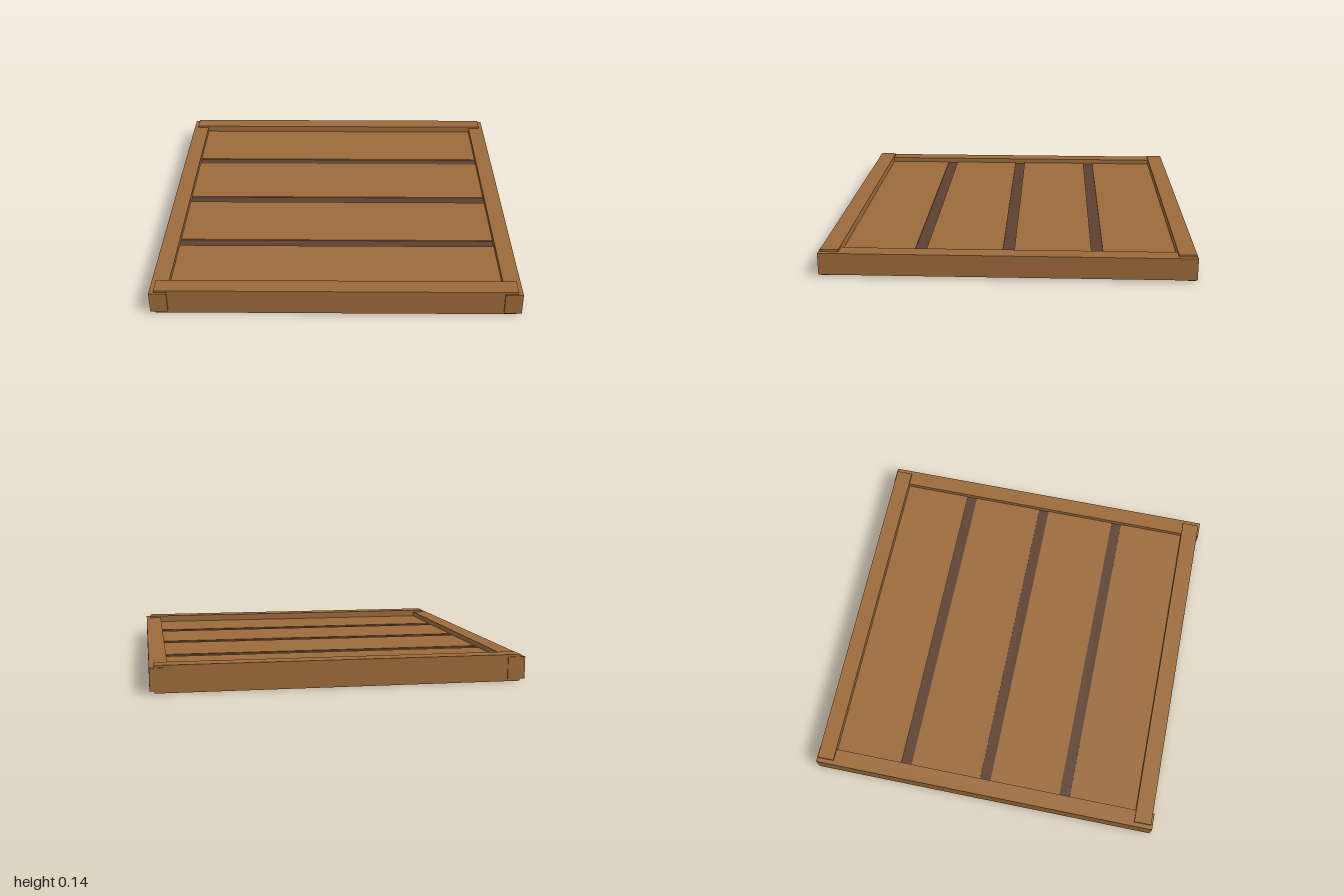
import * as THREE from 'three';

export function createModel() {
  const group = new THREE.Group();
  group.name = 'woodenPanel';

  const wood = new THREE.MeshStandardMaterial({ color: 0x9b6a3a });
  wood.name = 'warm wood';
  const darkWood = new THREE.MeshStandardMaterial({ color: 0x5c4132 });
  darkWood.name = 'dark wood';

  // Box given by its limits on each axis
  function addBox(name, material, [x0, x1], [y0, y1], [z0, z1]) {
    const mesh = new THREE.Mesh(new THREE.BoxGeometry(x1 - x0, y1 - y0, z1 - z0), material);
    mesh.position.set((x0 + x1) / 2, (y0 + y1) / 2, (z0 + z1) / 2);
    mesh.name = name;
    group.add(mesh);
  }

  // Side rails
  addBox('leftRail', wood, [0.905, 1], [0.012, 0.133], [-1, 1]);
  addBox('rightRail', wood, [-1, -0.905], [0.012, 0.133], [-1, 1]);

  // End rails, taller than the side rails and lapping over them
  addBox('frontRail', wood, [-0.975, 0.975], [0, 0.145], [0.892, 0.99]);
  addBox('backRail', wood, [-0.975, 0.975], [0, 0.145], [-0.995, -0.9]);

  // Four planks, set a little below the frame
  const seams = [-0.48, -0.003, 0.472];
  const halfSeam = 0.031;
  const starts = [-0.91, ...seams.map((z) => z + halfSeam)];
  const ends = [...seams.map((z) => z - halfSeam), 0.9];
  starts.forEach((z, i) => {
    addBox(`plank${i + 1}`, wood, [-0.91, 0.91], [0.04, 0.105], [z, ends[i]]);
  });

  // Dark strips filling the seams between the planks
  seams.forEach((z, i) => {
    addBox(`seamStrip${i + 1}`, darkWood, [-0.905, 0.905], [0.045, 0.1], [z - halfSeam, z + halfSeam]);
  });

  return group;
}
